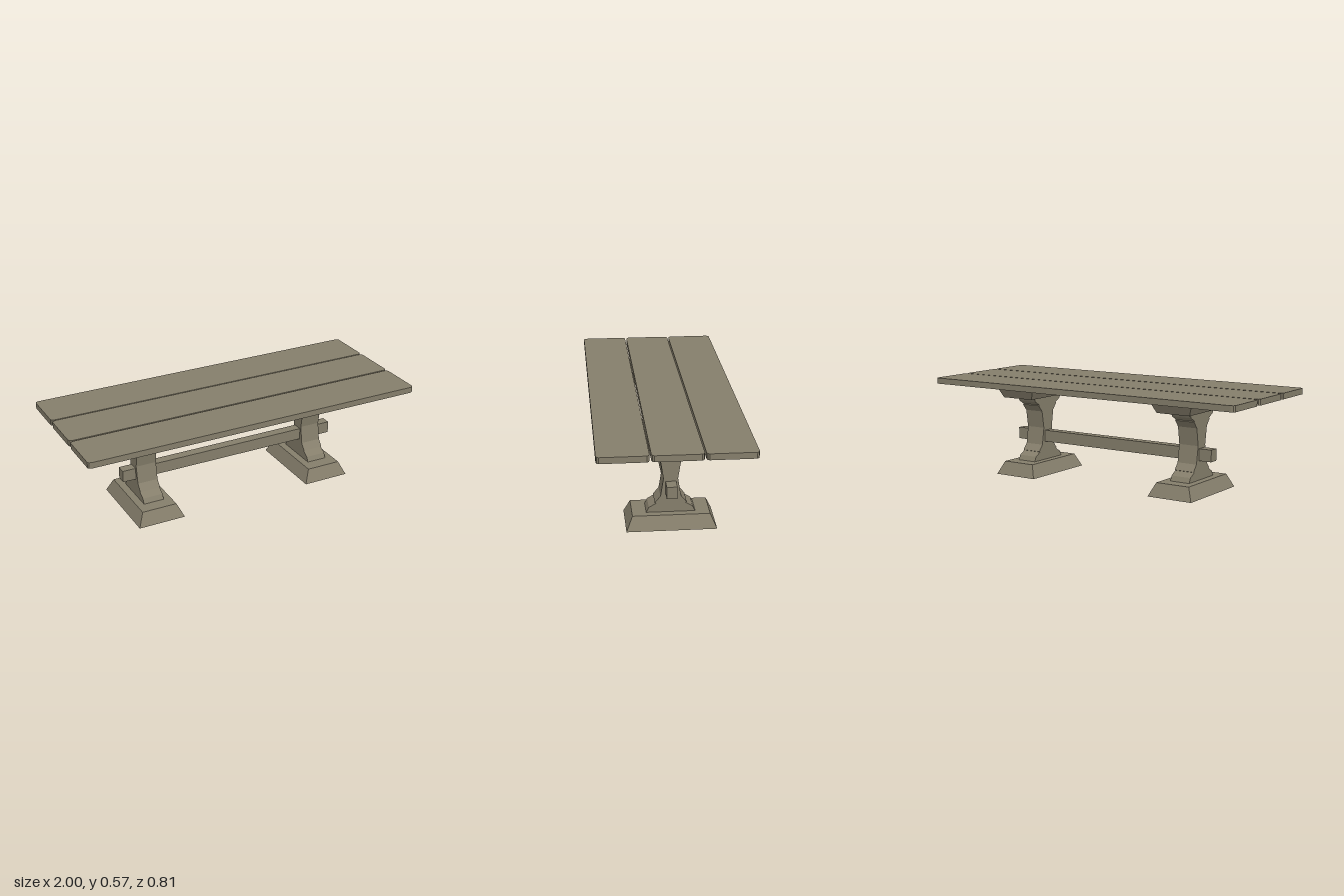
import * as THREE from 'three';

const wood = new THREE.MeshStandardMaterial({ color: 0x857e6b, flatShading: true });

function add(parent, name, geometry, x, y, z) {
  const mesh = new THREE.Mesh(geometry, wood);
  mesh.name = name;
  mesh.position.set(x, y, z);
  parent.add(mesh);
  return mesh;
}

// Box whose top face is drawn in on both axes
function taperedBlock(width, height, depth, topWidth, topDepth) {
  const geometry = new THREE.BoxGeometry(width, height, depth);
  const p = geometry.attributes.position;
  for (let i = 0; i < p.count; i++) {
    if (p.getY(i) > 0) {
      p.setX(i, Math.sign(p.getX(i)) * topWidth / 2);
      p.setZ(i, Math.sign(p.getZ(i)) * topDepth / 2);
    }
  }
  geometry.computeVertexNormals();
  return geometry;
}

// Plank with small rounded corners, lying flat
function plankGeometry(length, width, thickness) {
  const l = length / 2, w = width / 2;
  const corner = [[l, w - 0.014], [l - 0.006, w - 0.005], [l - 0.02, w]];
  const flipped = [...corner].reverse();
  const outline = [
    ...corner,
    ...flipped.map(([x, y]) => [-x, y]),
    ...corner.map(([x, y]) => [-x, -y]),
    ...flipped.map(([x, y]) => [x, -y]),
  ].map(([x, y]) => new THREE.Vector2(x, y));
  return new THREE.ExtrudeGeometry(new THREE.Shape(outline), { depth: thickness, bevelEnabled: false })
    .translate(0, 0, -thickness / 2)
    .rotateX(-Math.PI / 2);
}

// Waisted post, mirrored left to right and top to bottom
function postGeometry(thickness) {
  const midY = 0.269;
  const lower = [
    [0.132, 0.076], [0.118, 0.104], [0.079, 0.127], [0.086, 0.13], [0.055, 0.168],
  ];
  const side = [
    ...lower,
    [0.039, midY],
    ...[...lower].reverse().map(([z, y]) => [z, 2 * midY - y]),
  ];
  const outline = [...side, ...[...side].reverse().map(([z, y]) => [-z, y])]
    .map(([z, y]) => new THREE.Vector2(z, y));
  return new THREE.ExtrudeGeometry(new THREE.Shape(outline), { depth: thickness, bevelEnabled: false })
    .translate(0, 0, -thickness / 2)
    .rotateY(Math.PI / 2);
}

export function createModel() {
  const table = new THREE.Group();
  table.name = 'trestleTable';
  const zMid = -0.002;

  // Table top
  const plank = plankGeometry(2, 0.265, 0.034);
  [0.2745, 0.0005, -0.2725].forEach((z, i) => add(table, `topPlank${i + 1}`, plank, 0, 0.555, z));

  // Trestles: foot, post and cap
  const block = taperedBlock(0.275, 0.076, 0.487, 0.205, 0.418);
  const post = postGeometry(0.12);
  for (const [name, x] of [['rightTrestle', -0.528], ['leftTrestle', 0.537]]) {
    const trestle = new THREE.Group();
    trestle.name = name;
    trestle.position.set(x, 0, zMid);
    add(trestle, 'foot', block, 0, 0.038, 0);
    add(trestle, 'post', post, 0, 0, 0);
    add(trestle, 'cap', block, 0, 0.499, 0).rotation.x = Math.PI;
    table.add(trestle);
  }

  // Stretcher running through both posts
  add(table, 'stretcher', new THREE.BoxGeometry(1.34, 0.068, 0.057), 0.005, 0.219, zMid);

  return table;
}
